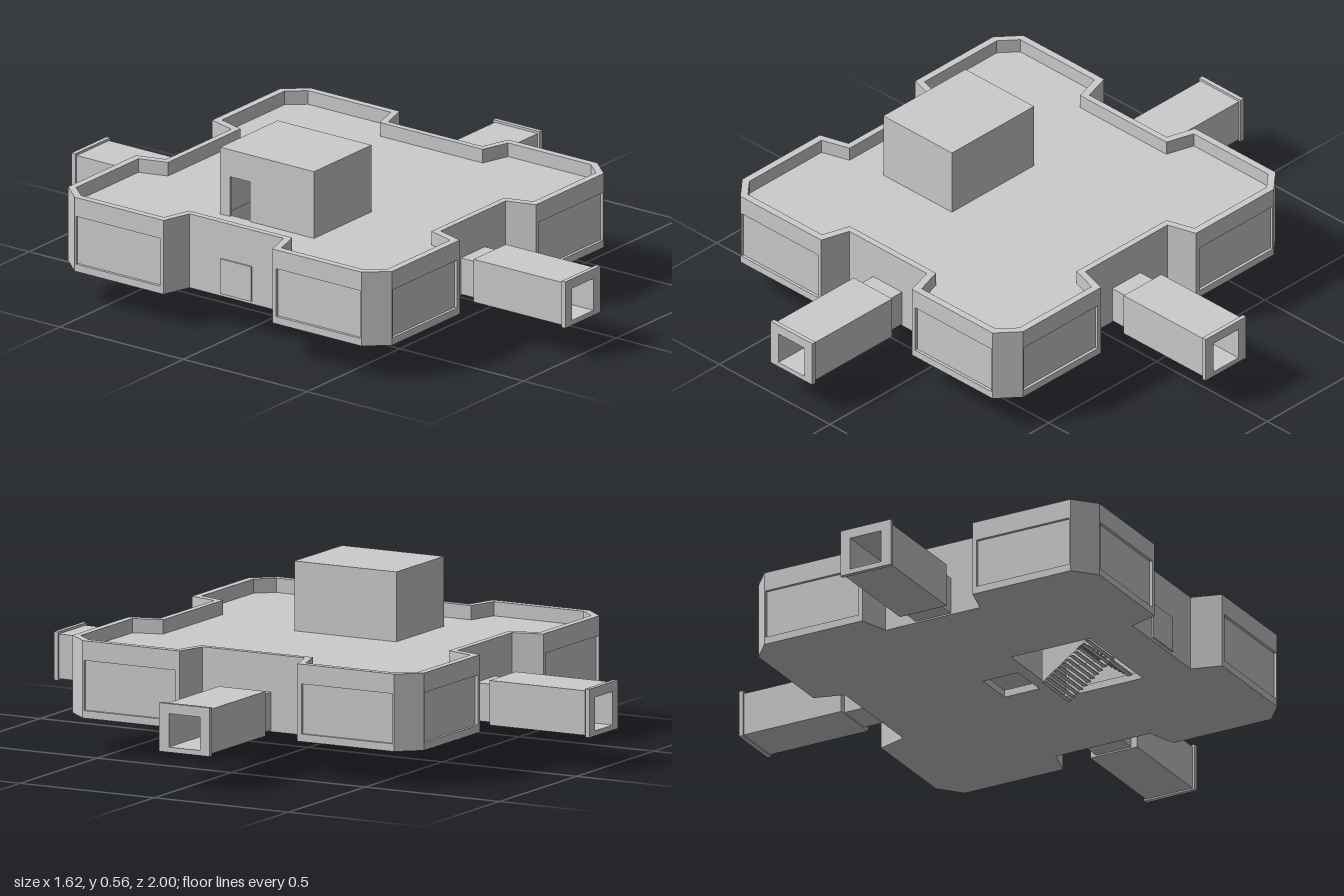
import * as THREE from 'three';

const grey = new THREE.MeshStandardMaterial({ color: 0xcccccc, side: THREE.DoubleSide });
const CX = -0.175; // the hall is symmetric about this x

// Quarter outlines, from the side notch round the chamfered corner to the end notch
const OUTER = [[.535, .19], [.635, .22], [.635, .58], [.57, .655], [.205, .655], [.175, .555]];
const INNER = [[.513, .208], [.61, .238], [.61, .572], [.56, .63], [.225, .63], [.195, .533]];
const PANELLED = [[.535, .19], [.635, .22], [.635, .235], [.625, .235], [.625, .575], [.635, .575], [.635, .58],
  [.57, .655], [.565, .655], [.565, .645], [.22, .645], [.22, .655], [.205, .655], [.175, .555]];

// Mirror a quarter outline into a closed loop
function loop(quarter) {
  const back = [...quarter].reverse();
  return [
    ...quarter.map(([x, y]) => [x, y]), ...back.map(([x, y]) => [-x, y]),
    ...quarter.map(([x, y]) => [-x, -y]), ...back.map(([x, y]) => [x, -y]),
  ].map(([x, y]) => new THREE.Vector2(x + CX, y));
}

function rectPath(x0, x1, y0, y1) {
  return new THREE.Path([[x0, y0], [x1, y0], [x1, y1], [x0, y1]].map(([x, y]) => new THREE.Vector2(x, y)));
}

function add(parent, name, geometry) {
  const mesh = new THREE.Mesh(geometry, grey);
  mesh.name = name;
  parent.add(mesh);
  return mesh;
}

// Box given by its limits
function box(parent, name, x0, x1, y0, y1, z0, z1) {
  const g = new THREE.BoxGeometry(x1 - x0, y1 - y0, z1 - z0);
  return add(parent, name, g.translate((x0 + x1) / 2, (y0 + y1) / 2, (z0 + z1) / 2));
}

// Horizontal layer from y0 to y1
function layer(parent, name, points, holes, y0, y1) {
  const shape = new THREE.Shape(points);
  shape.holes.push(...holes);
  const g = new THREE.ExtrudeGeometry(shape, { depth: y1 - y0, bevelEnabled: false });
  return add(parent, name, g.rotateX(-Math.PI / 2).translate(0, y0, -0.003));
}

// Rectangular tube along z with a rectangular bore
function tube(parent, name, outer, bore, z0, z1) {
  const shape = new THREE.Shape(rectPath(...outer).getPoints());
  shape.holes.push(rectPath(...bore));
  const g = new THREE.ExtrudeGeometry(shape, { depth: z1 - z0, bevelEnabled: false });
  return add(parent, name, g.translate(0, 0, z0));
}

// Docking corridor running out along +z, starting at the wall
function corridor(name) {
  const g = new THREE.Group();
  g.name = name;
  const bore = [-.058, .058, .132, .242];
  box(g, 'corridorNeck', -.065, .065, .125, .25, -.02, .075);
  tube(g, 'corridorTube', [-.087, .087, .12, .267], bore, .07, .44);
  tube(g, 'endFlange', [-.094, .094, .115, .275], bore, .432, .447);
  box(g, 'innerDoor', -.035, .058, .132, .242, .07, .08);
  box(g, 'doorHandle', -.042, -.034, .18, .19, .075, .085);
  return g;
}

export function createModel() {
  const model = new THREE.Group();

  // Hall: floor, recessed panel walls, roof and parapet
  const shaft = () => rectPath(-.54, -.25, -.175, .175);
  const hatch = rectPath(-.21, -.08, -.08, .06);
  layer(model, 'floor', loop(OUTER), [shaft(), hatch], .12, .145);
  layer(model, 'walls', loop(PANELLED), [new THREE.Path(loop(INNER))], .145, .31);
  layer(model, 'roof', loop(INNER), [shaft()], .31, .328);
  layer(model, 'parapet', loop(OUTER), [new THREE.Path(loop(INNER))], .31, .375);

  // Closed door on the wall without a corridor
  box(model, 'sideDoor', -.716, -.705, .13, .25, -.065, .06);

  // Stair tower, with its shaft walls going down to the floor
  const tower = new THREE.Group();
  tower.name = 'stairTower';
  model.add(tower);
  box(tower, 'towerRoof', -.55, -.24, .545, .558, -.19, .19);
  box(tower, 'towerInnerWall', -.25, -.24, .145, .545, -.19, .19);
  for (const s of [-1, 1]) {
    const z = [s * .18, s * .19].sort((a, b) => a - b);
    box(tower, 'towerSideWall', -.55, -.24, .145, .545, z[0], z[1]);
  }
  const doorWall = new THREE.Shape(rectPath(-.19, .19, .145, .545).getPoints());
  doorWall.holes.push(rectPath(-.15, -.07, .328, .465));
  const wallGeo = new THREE.ExtrudeGeometry(doorWall, { depth: .01, bevelEnabled: false });
  add(tower, 'towerDoorWall', wallGeo.rotateY(-Math.PI / 2).translate(-.54, 0, 0));

  // Lower stairs: open treads between two triangular cheeks
  const stairs = new THREE.Group();
  stairs.name = 'stairs';
  model.add(stairs);
  const cheek = new THREE.Shape([[-.54, .125], [-.365, .003], [-.365, .125]].map(([x, y]) => new THREE.Vector2(x, y)));
  for (const z of [-.01, -.178]) add(stairs, 'stairCheek', new THREE.ShapeGeometry(cheek).translate(0, 0, z));
  const steps = 12;
  for (let i = 0; i < steps; i++) {
    const x = -.365 - (i + 1) * .175 / steps, y = .002 + i * .122 / steps;
    box(stairs, 'lowerTread', x, x + .175 / steps, y, y + .002, -.178, -.01);
  }
  // Upper stairs turn back and climb to the roof
  for (let i = 0; i < 16; i++) {
    const x = -.50 + i * .25 / 16, y = .14 + i * .185 / 16;
    box(stairs, 'upperTread', x, x + .25 / 16, y, y + .006, 0, .175);
  }

  // Three corridors: front, back and left
  const front = corridor('frontCorridor');
  front.position.set(-.177, 0, .55);
  const back = corridor('backCorridor');
  back.position.set(-.177, 0, -.553);
  back.rotation.y = Math.PI;
  const left = corridor('leftCorridor');
  left.position.set(.363, 0, -.003);
  left.rotation.y = Math.PI / 2;
  model.add(front, back, left);
  return model;
}
